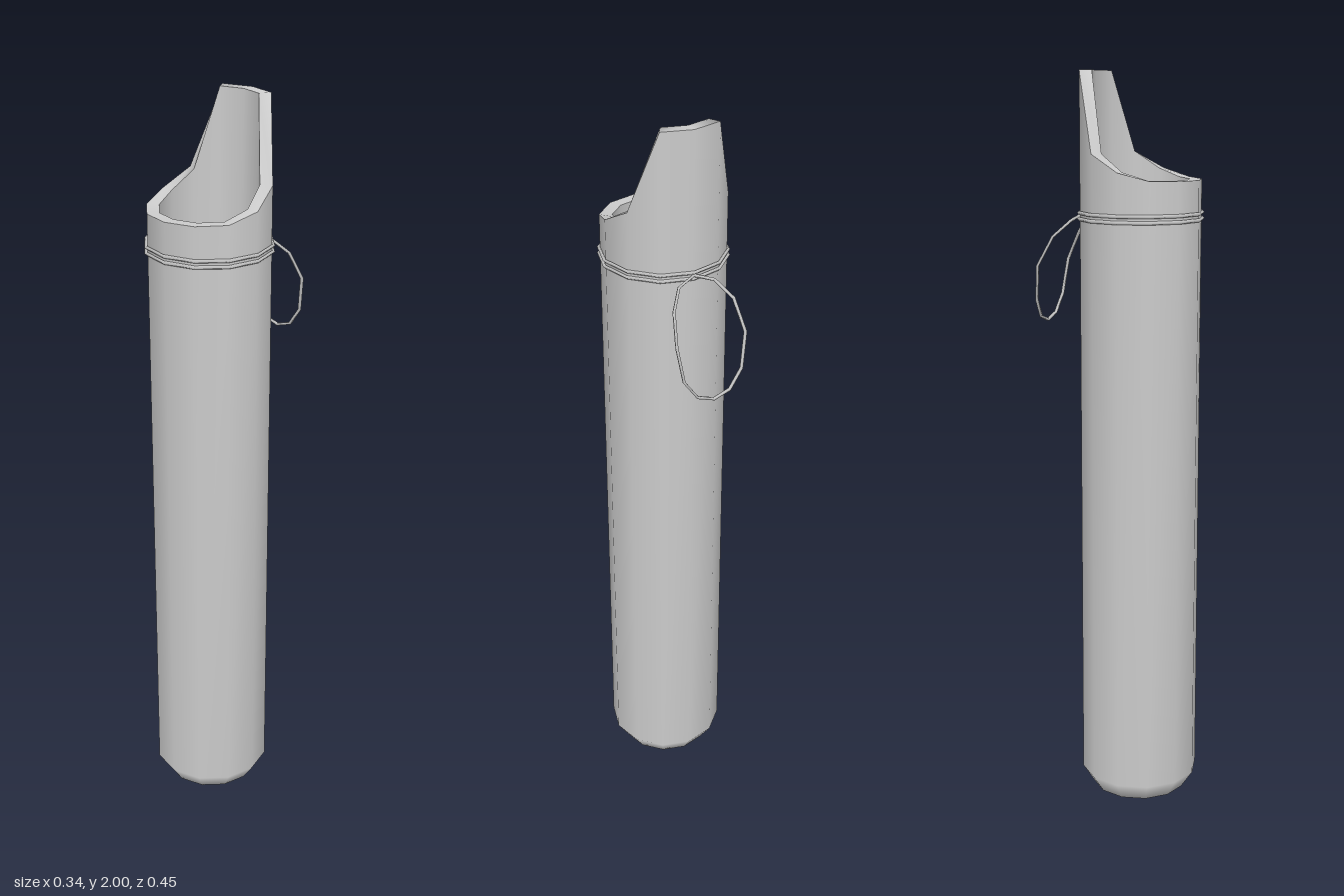
import * as THREE from 'three';

const SIDES = 12, CENTRE_Z = 0.055, OUTER = 0.163, INNER = 0.13;
// Rim height at each corner, from the front (0 deg) round to the back (180 deg)
const RIM = [1.72, 1.72, 1.722, 1.743, 1.788, 2, 2];
const rimHeight = (i) => RIM[Math.min(i % SIDES, SIDES - (i % SIDES))];

// Rings of corners joined in order; each ring is [radius, height or height function]
function ringSurface(rings) {
  const pos = [], index = [];
  for (const [r, h] of rings) {
    for (let i = 0; i < SIDES; i++) {
      const a = (i / SIDES) * Math.PI * 2;
      pos.push(r * Math.sin(a), typeof h === 'function' ? h(i) : h, r * Math.cos(a));
    }
  }
  for (let k = 0; k < rings.length - 1; k++) {
    for (let i = 0; i < SIDES; i++) {
      const j = (i + 1) % SIDES;
      const a = k * SIDES + i, b = k * SIDES + j, c = a + SIDES, d = b + SIDES;
      index.push(a, b, d, a, d, c);
    }
  }
  const geo = new THREE.BufferGeometry();
  geo.setAttribute('position', new THREE.Float32BufferAttribute(pos, 3));
  geo.setIndex(index);
  geo.computeVertexNormals();
  return geo;
}

// Closed curve running straight from point to point
class PolyLoop extends THREE.Curve {
  constructor(points) {
    super();
    this.points = points;
  }
  getPoint(t, target = new THREE.Vector3()) {
    const n = this.points.length;
    const s = (((t % 1) + 1) % 1) * n, i = Math.floor(s) % n;
    return target.lerpVectors(this.points[i], this.points[(i + 1) % n], s - Math.floor(s));
  }
  getPointAt(t, target) {
    return this.getPoint(t, target);
  }
  getTangentAt(t, target = new THREE.Vector3()) {
    return target.copy(this.getPoint(t + 0.001)).sub(this.getPoint(t - 0.001)).normalize();
  }
}

export function createModel() {
  const group = new THREE.Group();
  const material = new THREE.MeshStandardMaterial({ color: 0xcccccc, side: THREE.DoubleSide });
  const add = (name, geometry, y = 0, z = CENTRE_Z) => {
    const mesh = new THREE.Mesh(geometry, material);
    mesh.name = name;
    mesh.position.set(0, y, z);
    group.add(mesh);
    return mesh;
  };

  // Tall tube with a chamfered foot, a scooped mouth and a raised back
  add('outerWall', ringSurface([[0, 0], [0.13, 0], [OUTER, 0.05], [OUTER, rimHeight]]));
  add('rim', ringSurface([[OUTER, rimHeight], [INNER, rimHeight]]));
  add('innerWall', ringSurface([[INNER, rimHeight], [INNER, 0.05]]));
  add('floor', ringSurface([[INNER, 0.05], [0, 0.05]]));

  // Cord wound twice around the neck
  for (const y of [1.617, 1.633]) {
    const ring = new THREE.TorusGeometry(0.166, 0.005, 4, SIDES);
    ring.rotateX(Math.PI / 2);
    ring.rotateY(Math.PI / 2);
    add('cordRing', ring, y);
  }

  // Hanging loop at the back, mirrored about x = 0
  const half = [
    [0.05, 1.61, -0.126], [0.084, 1.568, -0.165], [0.097, 1.49, -0.205],
    [0.082, 1.395, -0.216], [0.046, 1.345, -0.221],
  ];
  const points = [
    [0, 1.626, -0.111],
    ...half,
    [0, 1.33, -0.223],
    ...half.map(([x, y, z]) => [-x, y, z]).reverse(),
  ].map((p) => new THREE.Vector3(...p));
  add('cordLoop', new THREE.TubeGeometry(new PolyLoop(points), points.length, 0.0045, 4, true), 0, 0);

  return group;
}
